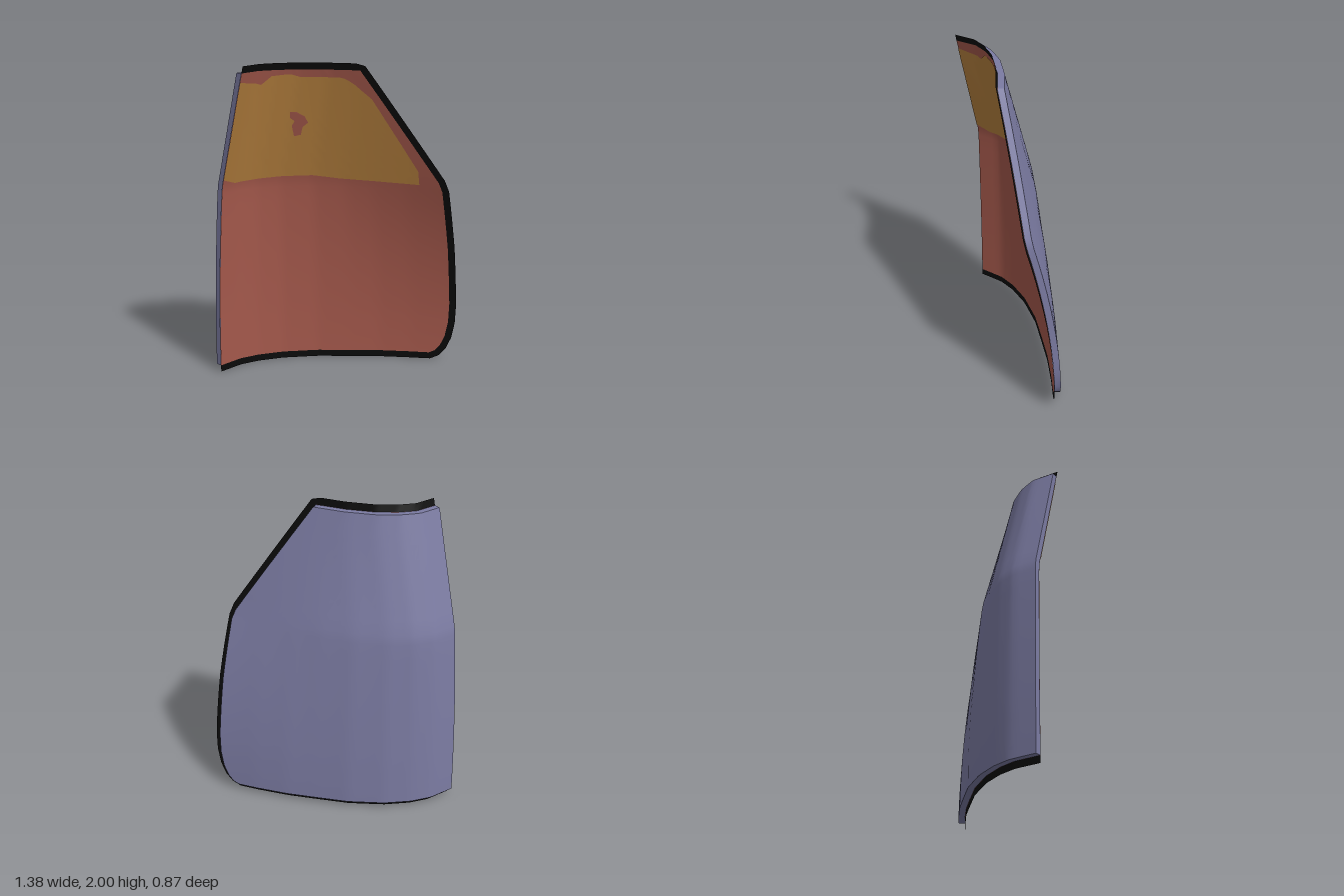
import * as THREE from 'three';

const mat = (name, color) => {
  const m = new THREE.MeshStandardMaterial({ color, side: THREE.DoubleSide });
  m.name = name;
  return m;
};

// Horizontal sections [x, z] of the concave face at the bottom, bend line and top
const LOW = [[-.655, .345], [-.59, .19], [-.51, .09], [-.38, -.02], [-.18, -.135], [.02, -.215], [.2, -.285], [.4, -.345], [.68, -.415]];
const MID = [[-.61, .345], [-.555, .205], [-.48, .115], [-.36, .03], [-.17, -.06], [.02, -.115], [.2, -.15], [.4, -.18], [.68, -.212]];
const TOP = [[-.405, .432], [-.36, .30], [-.28, .22], [-.17, .15], [0, .09], [.18, .055], [.3, .035], [.4, .02], [.68, -.02]];
const BEND = 1.23, RIM = 0.043;
// Right-hand outline of the panel as [y, x]
const OUTLINE = [[RIM, .52], [.06, .555], [.1, .59], [.17, .62], [.27, .64], [.4, .648], [.8, .645], [1.19, .63], [1.25, .612], [2 - RIM, .18]];

const lerp = THREE.MathUtils.lerp;

// Piecewise linear lookup in a list of [input, output]
function lookup(table, v) {
  let i = 0;
  while (i < table.length - 2 && v > table[i + 1][0]) i++;
  const [a, b] = [table[i], table[i + 1]];
  return lerp(a[1], b[1], (v - a[0]) / (b[0] - a[0]));
}

function section(y) {
  const [a, b, w] = y < BEND
    ? [LOW, MID, (Math.max(y, 0) / BEND) ** 2]
    : [MID, TOP, (y - BEND) / (2 - BEND)];
  return a.map((p, i) => [lerp(p[0], b[i][0], w), lerp(p[1], b[i][1], w)]);
}

// Point on the curved face at (x, y), pushed forward by an offset
function onFace(x, y, offset = 0) {
  const s = section(y);
  x = Math.max(x, s[0][0]);
  const z = lookup(s, x), e = 0.03;
  const x0 = Math.max(x - e, s[0][0]);
  const slope = (lookup(s, x + e) - lookup(s, x0)) / (x + e - x0);
  const n = Math.hypot(1, slope);
  return [x - slope / n * offset, y, z + offset / n];
}

// Same, with t running from the left edge (0) to the right outline (1)
function atT(t, y, offset = 0) {
  return onFace(lerp(section(y)[0][0], lookup(OUTLINE, y), t), y, offset);
}

// Grid surface from a list of rows of points
function sheet(rows, flip = false) {
  const n = rows[0].length, index = [];
  for (let r = 0; r < rows.length - 1; r++) {
    for (let c = 0; c < n - 1; c++) {
      const a = r * n + c, b = a + 1, d = a + n, e = d + 1;
      if (flip) index.push(a, d, b, b, d, e);
      else index.push(a, b, d, b, e, d);
    }
  }
  const g = new THREE.BufferGeometry();
  g.setAttribute('position', new THREE.Float32BufferAttribute(rows.flat(2), 3));
  g.setIndex(index);
  g.computeVertexNormals();
  return g;
}

export function createModel() {
  const group = new THREE.Group();
  const red = mat('brick red', 0xa5594c);
  const ochre = mat('ochre', 0xb8823f);
  const violet = mat('slate violet', 0x7c7ca3);
  const black = mat('black', 0x0a0a0a);
  const add = (name, geometry, material) => {
    const m = new THREE.Mesh(geometry, material);
    m.name = name;
    group.add(m);
  };

  const N = 40, THICK = 0.042;
  const ts = Array.from({ length: N + 1 }, (_, i) => (i / N) ** 1.5);
  const ys = [];
  OUTLINE.forEach(([y], i) => {
    if (i === 0) return ys.push(y);
    const y0 = OUTLINE[i - 1][0], k = Math.ceil((y - y0) / 0.1);
    for (let j = 1; j <= k; j++) ys.push(lerp(y0, y, j / k));
  });

  // Concave lining and convex shell
  add('innerLining', sheet(ys.map(y => ts.map(t => atT(t, y)))), red);
  add('outerShell', sheet(ys.map(y => ts.map(t => atT(t, y, -THICK))), true), violet);

  // Shell side walls: bottom, right and top in one run, then the left edge
  const yTop = ys[ys.length - 1];
  const path = [
    ...ts.map(t => [t, ys[0]]),
    ...ys.slice(1).map(y => [1, y]),
    ...ts.slice(0, -1).reverse().map(t => [t, yTop]),
  ];
  const wall = pts => sheet([-THICK, -0.001].map(o => pts.map(([t, y]) => atT(t, y, o))));
  add('shellEdge', wall(path), violet);
  add('leftEdge', wall(ys.slice().reverse().map(y => [0, y])), violet);

  // Black flange standing out around bottom, right and top
  const inner = path.map(([t, y]) => atT(t, y));
  const outer = inner.map((p, i) => {
    const a = inner[Math.max(i - 1, 0)], b = inner[Math.min(i + 1, inner.length - 1)];
    const dx = b[0] - a[0], dy = b[1] - a[1], l = Math.hypot(dx, dy);
    return onFace(p[0] + dy / l * RIM, THREE.MathUtils.clamp(p[1] - dx / l * RIM, 0, 2));
  });
  add('rimFlange', sheet([outer, inner]), black);

  // Ochre area on the upper lining, with uneven top and bottom borders
  const lower = [[0, 1.28], [.03, 1.245], [.2, 1.26], [.35, 1.265], [.5, 1.245], [.75, 1.235], [.9, 1.23], [.93, 1.32]];
  const upper = [[0, 1.9], [.1, 1.87], [.17, 1.92], [.32, 1.93], [.4, 1.91], [.78, 1.91], [.85, 1.88], [.93, 1.78]];
  const rows = [];
  for (let r = 0; r <= 16; r++) {
    rows.push(ts.map(t => {
      const u = t * 0.93;
      return atT(u, lerp(lookup(lower, u), lookup(upper, u), r / 16), 0.004);
    }));
  }
  add('upperPatch', sheet(rows), ochre);

  // Small bare spot inside the ochre area
  const spot = new THREE.Shape([[-.25, 1.53], [-.21, 1.54], [-.195, 1.59], [-.16, 1.62], [-.175, 1.66], [-.22, 1.69], [-.255, 1.69], [-.26, 1.65], [-.235, 1.63], [-.255, 1.6]]
    .map(p => new THREE.Vector2(...p)));
  const g = new THREE.ShapeGeometry(spot);
  const pos = g.attributes.position;
  for (let i = 0; i < pos.count; i++) pos.setXYZ(i, ...onFace(pos.getX(i), pos.getY(i), 0.008));
  g.computeVertexNormals();
  add('bareSpot', g, red);

  return group;
}
